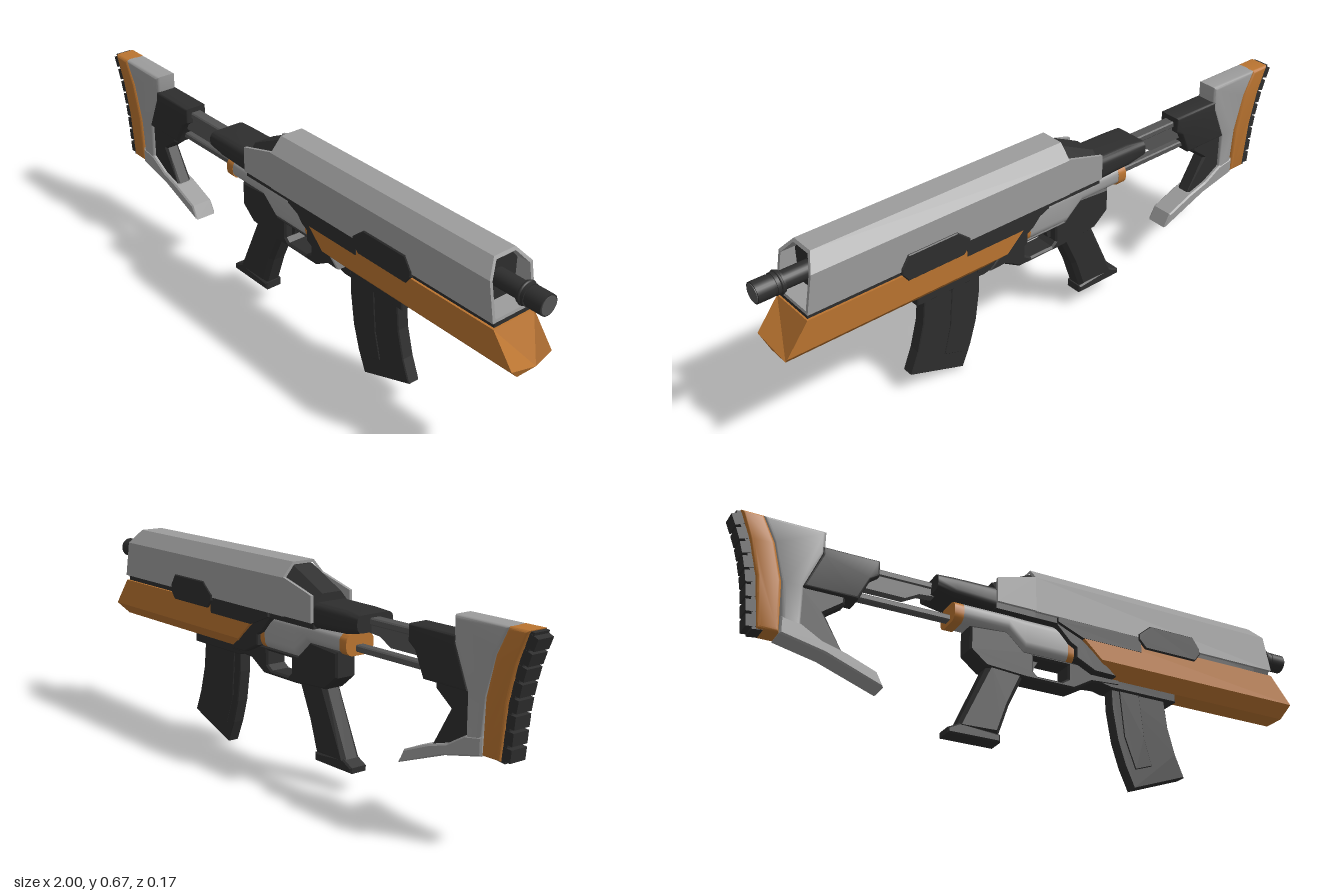
import * as THREE from 'three';
import { toCreasedNormals } from 'three/addons/utils/BufferGeometryUtils.js';

const paint = (name, color) => {
  const m = new THREE.MeshStandardMaterial({ color });
  m.name = name;
  return m;
};

export function createModel() {
  const model = new THREE.Group();
  model.name = 'model';
  const grey = paint('light grey', 0x9c9c9c);
  const dark = paint('charcoal', 0x2e2e2e);
  const mid = paint('steel grey', 0x555555);
  const orange = paint('orange', 0xba7430);

  const add = (name, geometry, material) => {
    const mesh = new THREE.Mesh(geometry, material);
    mesh.name = name;
    model.add(mesh);
    return mesh;
  };

  // Side profile extruded across z, with optional bevel and holes
  const slab = (name, pts, half, material, bevel = 0, hole = null, z = 0, segments = 1) => {
    const shape = new THREE.Shape(pts.map(p => new THREE.Vector2(...p)));
    if (hole) shape.holes.push(new THREE.Path(hole.map(p => new THREE.Vector2(...p))));
    let g = new THREE.ExtrudeGeometry(shape, {
      depth: 2 * (half - bevel), bevelEnabled: bevel > 0, bevelThickness: bevel,
      bevelSize: bevel, bevelOffset: -bevel, bevelSegments: segments,
    });
    g.translate(0, 0, z - half + bevel);
    if (segments > 1) g = toCreasedNormals(g, 0.6);
    return add(name, g, material);
  };

  // Mirrors a half section of [z, y] points (bottom to top) into a ring; x may depend on y
  const ring = (half, x) => {
    const at = typeof x === 'function' ? x : () => x;
    return [...half.map(([z, y]) => [at(y), y, -z]),
      ...half.slice().reverse().map(([z, y]) => [at(y), y, z])];
  };

  // Skin through rings that advance along x
  const loft = (name, rings, material, caps = true, crease = 0) => {
    const v = [];
    const tri = (a, b, c) => v.push(...a, ...b, ...c);
    const n = rings[0].length;
    for (let k = 0; k + 1 < rings.length; k++) {
      for (let i = 0; i < n; i++) {
        const j = (i + 1) % n, p = rings[k], q = rings[k + 1];
        tri(p[i], p[j], q[j]);
        tri(p[i], q[j], q[i]);
      }
    }
    if (caps) {
      const p = rings[0], q = rings[rings.length - 1];
      for (let i = 1; i + 1 < n; i++) {
        tri(p[0], p[i + 1], p[i]);
        tri(q[0], q[i], q[i + 1]);
      }
    }
    let g = new THREE.BufferGeometry();
    g.setAttribute('position', new THREE.Float32BufferAttribute(v, 3));
    g.computeVertexNormals();
    if (crease) g = toCreasedNormals(g, crease);
    return add(name, g, material);
  };

  // Half section with rounded corners
  const rounded = (w, y0, y1, r, n = 5) => {
    const pts = [];
    for (const [cy, start] of [[y0 + r, -Math.PI / 2], [y1 - r, 0]]) {
      for (let i = 0; i <= n; i++) {
        const a = start + (i / n) * Math.PI / 2;
        pts.push([w - r + r * Math.cos(a), cy + r * Math.sin(a)]);
      }
    }
    return pts;
  };

  // Linear interpolation through [y, x] stations, highest y first
  const slope = st => y => {
    for (let i = 0; i + 1 < st.length; i++) {
      const [ya, xa] = st[i], [yb, xb] = st[i + 1];
      if (y >= yb || i === st.length - 2) return xa + (xb - xa) * (y - ya) / (yb - ya);
    }
  };

  // Upper shroud: hollow, with slanted muzzle opening
  const noseX = slope([[0.67, 0.84], [0.625, 0.868], [0.505, 0.892]]);
  const outer = [[0.08, 0.505], [0.08, 0.625], [0.04, 0.67]];
  const inner = [[0.07, 0.514], [0.07, 0.621], [0.036, 0.661]];
  loft('upperShroud', [ring(inner, -0.03), ring(outer, -0.03), ring(outer, noseX),
    ring(inner, noseX), ring(inner, 0.8)], grey, false);
  for (const s of [-1, 1]) {
    slab('shroudCheek', [[-0.165, 0.507], [-0.03, 0.507], [-0.03, 0.627], [-0.165, 0.59]],
      0.005, grey, 0, null, s * 0.075);
    // Raised side panel and the strip over the handguard
    slab('sidePanel', [[0.35, 0.495], [0.375, 0.468], [0.57, 0.468], [0.59, 0.495], [0.59, 0.515],
      [0.565, 0.553], [0.395, 0.553], [0.35, 0.515]], 0.008, dark, 0.003, null, s * 0.077);
    slab('sideStrip', [[0.05, 0.49], [0.14, 0.453], [0.36, 0.453], [0.36, 0.507], [0.05, 0.507]],
      0.008, dark, 0, null, s * 0.0708);
  }

  // Dark core inside the shroud and its sloped rear
  const core = top => [[0.07, 0.487], [0.07, top - 0.04], [0.036, top]];
  loft('core', [ring(core(0.592), -0.165), ring(core(0.658), -0.028), ring(core(0.658), 0.825)], dark);
  add('coreFloor', new THREE.BoxGeometry(0.1, 0.022, 0.139), dark).position.set(0.838, 0.497, 0);
  loft('rearSleeve', [ring(rounded(0.069, 0.507, 0.56, 0.02), -0.362),
    ring(rounded(0.07, 0.494, 0.565, 0.025), -0.3),
    ring(rounded(0.07, 0.488, 0.567, 0.025), -0.16)], dark, true, 0.6);

  // Barrel and muzzle
  const tube = (name, r, x0, x1, material) => {
    const m = add(name, new THREE.CylinderGeometry(r, r, x1 - x0, 28), material);
    m.rotation.z = -Math.PI / 2;
    m.position.set((x0 + x1) / 2, 0.586, 0);
  };
  tube('barrel', 0.027, 0.8, 0.925, dark);
  tube('muzzle', 0.033, 0.915, 0.94, dark);
  tube('muzzleNeck', 0.03, 0.94, 0.948, dark);
  tube('muzzleTip', 0.032, 0.948, 0.998, dark);
  tube('boreDisc', 0.028, 0.995, 1.0, mid);
  add('muzzleFlange', new THREE.TorusGeometry(0.032, 0.005, 8, 28), dark)
    .rotation.y = Math.PI / 2;
  model.children[model.children.length - 1].position.set(0.925, 0.586, 0);

  // Handguard
  const guardHalf = [[0.037, 0.352], [0.077, 0.393], [0.077, 0.487]];
  loft('handguard', [ring(guardHalf, slope([[0.487, 0.11], [0.393, 0.21], [0.352, 0.262]])),
    ring(guardHalf, slope([[0.487, 0.893], [0.393, 0.967], [0.352, 0.953]]))], orange);

  // Rounded receiver with orange end bands
  const low = rounded(0.052, 0.43, 0.492, 0.025), deep = rounded(0.052, 0.376, 0.492, 0.03);
  loft('receiver', [ring(low, -0.266), ring(low, -0.11), ring(deep, -0.05), ring(deep, 0.1)],
    grey, true, 0.5);
  loft('rearBand', [ring(rounded(0.053, 0.424, 0.492, 0.027), -0.296),
    ring(rounded(0.053, 0.424, 0.492, 0.027), -0.265)], orange, true, 0.5);
  loft('frontBand', [ring(deep, 0.1), ring(deep, 0.123)], orange, true, 0.5);

  // Lower frame, trigger guard and magazine collar
  slab('lowerFrame', [[0.045, 0.492], [0.1, 0.432], [0.122, 0.42], [0.122, 0.385], [0.19, 0.352],
    [0.27, 0.352], [0.145, 0.455], [0.145, 0.492]], 0.066, dark, 0.004);
  slab('triggerGuard', [[-0.235, 0.425], [-0.235, 0.345], [-0.18, 0.3], [-0.04, 0.29], [0.13, 0.29],
    [0.195, 0.328], [0.3, 0.335], [0.3, 0.38], [-0.05, 0.38], [-0.11, 0.435]], 0.038, dark, 0.006,
    [[-0.015, 0.318], [0.0, 0.305], [0.085, 0.305], [0.108, 0.32], [0.108, 0.366], [-0.015, 0.366]]);
  slab('trigger', [[-0.02, 0.37], [0.015, 0.37], [0.0, 0.345], [-0.005, 0.325], [-0.02, 0.32]], 0.01, dark);
  slab('magazineCollar', [[0.2, 0.36], [0.2, 0.34], [0.265, 0.324], [0.515, 0.324], [0.515, 0.36]],
    0.036, dark, 0.003);

  // Curved magazine with a spine rib on each side
  slab('magazine', [[0.275, 0.34], [0.278, 0.26], [0.295, 0.155], [0.32, 0.075], [0.352, 0.002],
    [0.545, 0.072], [0.515, 0.145], [0.49, 0.235], [0.478, 0.34]], 0.021, dark, 0.003);
  slab('magazineRib', [[0.305, 0.33], [0.32, 0.17], [0.358, 0.066], [0.42, 0.088], [0.395, 0.18],
    [0.38, 0.33]], 0.024, dark, 0.002);

  // Pistol grip and its foot
  slab('grip', [[-0.17, 0.31], [-0.27, 0.085], [-0.13, 0.085], [-0.115, 0.13], [-0.095, 0.19],
    [-0.05, 0.29], [-0.05, 0.34], [-0.15, 0.34]], 0.034, dark, 0.013);
  slab('gripFoot', [[-0.298, 0.062], [-0.125, 0.062], [-0.125, 0.088], [-0.258, 0.1], [-0.298, 0.08]],
    0.032, dark, 0.005);

  // Stock rails
  slab('upperRail', [[-0.56, 0.527], [-0.34, 0.527], [-0.34, 0.549], [-0.56, 0.549]], 0.02, mid, 0.004);
  slab('railWeb', [[-0.58, 0.475], [-0.445, 0.475], [-0.4, 0.5], [-0.34, 0.505], [-0.34, 0.53],
    [-0.58, 0.53]], 0.015, mid);
  slab('lowerRail', [[-0.62, 0.436], [-0.28, 0.436], [-0.28, 0.457], [-0.62, 0.457]], 0.016, mid, 0.004);

  // Stock clamp and strut
  slab('stockClamp', [[-0.77, 0.42], [-0.6, 0.42], [-0.565, 0.495], [-0.538, 0.515], [-0.538, 0.566],
    [-0.72, 0.566], [-0.72, 0.54]], 0.039, dark, 0.008, null, 0, 3);
  slab('stockStrut', [[-0.78, 0.43], [-0.635, 0.43], [-0.635, 0.4], [-0.695, 0.355], [-0.62, 0.225],
    [-0.78, 0.27]], 0.026, dark, 0.008);

  // Stock body and toe
  slab('stockBody', [[-0.905, 0.62], [-0.71, 0.62], [-0.71, 0.545], [-0.765, 0.42], [-0.765, 0.29],
    [-0.68, 0.24], [-0.82, 0.255], [-0.832, 0.42], [-0.865, 0.54]], 0.037, grey, 0.012, null, 0, 4);
  slab('stockToe', [[-0.826, 0.256], [-0.69, 0.225], [-0.507, 0.157], [-0.53, 0.202], [-0.625, 0.24],
    [-0.7, 0.262], [-0.765, 0.3], [-0.826, 0.31]], 0.039, grey, 0.005);

  // Orange butt band following the shoulder curve
  const edge = [[-0.97, 0.62], [-0.935, 0.53], [-0.908, 0.42], [-0.89, 0.258]];
  slab('buttBand', [...edge, [-0.826, 0.258], [-0.832, 0.42], [-0.862, 0.54], [-0.902, 0.62]],
    0.038, orange, 0.011, null, 0, 4);

  // Ribbed shoulder pad
  slab('padBase', [...edge.map(([x, y]) => [x - 0.012, y - 0.004]),
    ...edge.slice().reverse().map(([x, y]) => [x + 0.02, y])], 0.028, dark);
  const curve = new THREE.CatmullRomCurve3(edge.map(([x, y]) => new THREE.Vector3(x, y, 0)));
  for (let i = 0; i < 8; i++) {
    const t = 0.07 + i * 0.124;
    const p = curve.getPointAt(t), d = curve.getTangentAt(t);
    const rib = add('padRib', new THREE.BoxGeometry(0.032, 0.037, 0.058), dark);
    rib.rotation.z = Math.atan2(-d.y, -d.x) - Math.PI / 2;
    rib.position.set(p.x + d.y * 0.014, p.y - d.x * 0.014, 0);
  }
  return model;
}
